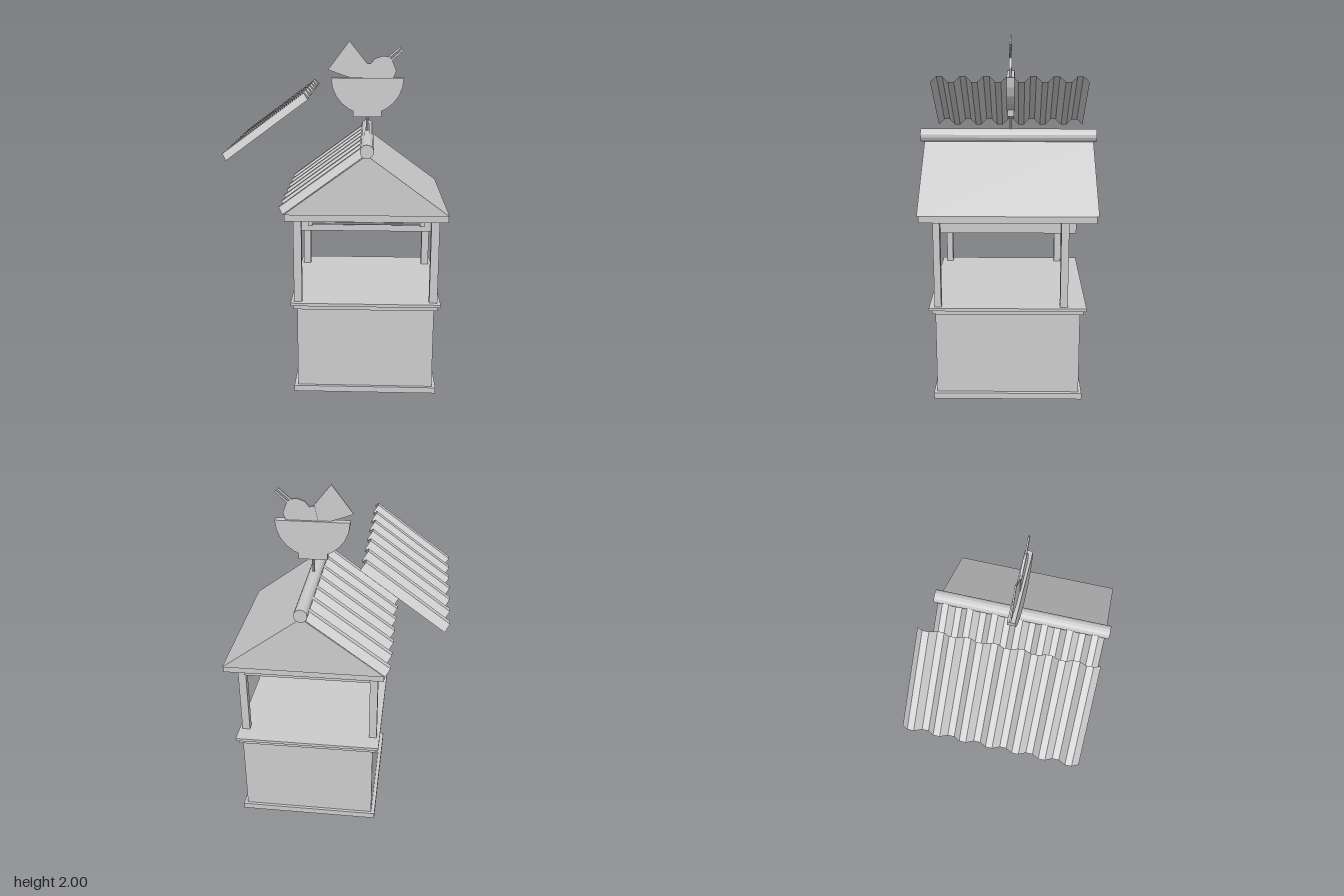
import * as THREE from 'three';

const CX = 0.163; // centre line of the stall
const SIGN_Z = -0.012;
const grey = new THREE.MeshStandardMaterial({ color: 0xcccccc, flatShading: true });
const greyThin = new THREE.MeshStandardMaterial({ color: 0xcccccc, flatShading: true, side: THREE.DoubleSide });

export function createModel() {
  const model = new THREE.Group();
  model.name = 'foodStall';

  function add(name, geometry, material = grey) {
    const mesh = new THREE.Mesh(geometry, material);
    mesh.name = name;
    model.add(mesh);
    return mesh;
  }
  // Box given by its limits on each axis
  function box(name, x0, x1, y0, y1, z0, z1) {
    const mesh = add(name, new THREE.BoxGeometry(x1 - x0, y1 - y0, z1 - z0));
    mesh.position.set((x0 + x1) / 2, (y0 + y1) / 2, (z0 + z1) / 2);
  }
  // Flat outline extruded about a z centre
  function plate(name, points, depth, z) {
    const shape = new THREE.Shape(points.map(([x, y]) => new THREE.Vector2(x, y)));
    const mesh = add(name, new THREE.ExtrudeGeometry(shape, { depth, bevelEnabled: false }));
    mesh.position.z = z - depth / 2;
  }
  // Centred slab of the stall
  const slab = (name, w, d, y0, y1) => box(name, CX - w / 2, CX + w / 2, y0, y1, -d / 2, d / 2);

  // Counter
  slab('plinth', 0.825, 0.835, 0, 0.035);
  slab('counterBody', 0.782, 0.8, 0.035, 0.515);
  slab('counterTrim', 0.82, 0.835, 0.515, 0.54);
  slab('counterTop', 0.852, 0.865, 0.54, 0.557);

  // Posts
  for (const side of [-1, 1]) {
    const x = CX + side * 0.385;
    box('frontPost', x - 0.023, x + 0.023, 0.557, 1.05, 0.365, 0.402);
    box('backPost', x - 0.023, x + 0.023, 0.557, 1.05, -0.33, -0.288);
  }

  // Ceiling block with a lamp on its front
  box('ceiling', -0.2, 0.525, 0.97, 1.05, -0.37, 0.366);
  const lamp = add('lampTube', new THREE.CylinderGeometry(0.007, 0.007, 0.62, 8));
  lamp.rotation.z = Math.PI / 2;
  lamp.position.set(CX, 1.016, 0.38);
  for (const x of [-0.15, 0.476]) box('lampCap', x - 0.012, x + 0.012, 1.004, 1.028, 0.366, 0.392);

  // Roof
  slab('eaves', 0.898, 0.945, 1.05, 1.09);
  plate('gableRoof', [[-0.29, 1.088], [0.615, 1.088], [CX, 1.42]], 0.965, -0.002);
  const ridge = add('ridgePole', new THREE.CylinderGeometry(0.038, 0.038, 1.003, 14));
  ridge.rotation.x = Math.PI / 2;
  ridge.position.set(CX, 1.443, 0);

  // Corrugated sheet: four quarter steps per wave, swept along the slope
  function corrugatedSheet(name, x, y) {
    const run = [0.445, 0.328], lift = [-0.025, 0.032];
    const waves = 7, step = 0.0357, positions = [], index = [];
    const count = waves * 4;
    for (let i = 0; i < count; i++) {
      const high = i % 4 === 1 || i % 4 === 2 ? 1 : 0;
      for (const t of [0, 1]) {
        positions.push(x + lift[0] * high + run[0] * t, y + lift[1] * high + run[1] * t, -0.485 + i * step);
      }
      if (i < count - 1) {
        const a = i * 2;
        index.push(a, a + 2, a + 1, a + 1, a + 2, a + 3);
      }
    }
    const geometry = new THREE.BufferGeometry();
    geometry.setAttribute('position', new THREE.Float32BufferAttribute(positions, 3));
    geometry.setIndex(index);
    geometry.computeVertexNormals();
    add(name, geometry, greyThin);
  }
  corrugatedSheet('roofSheet', -0.293, 1.09);
  corrugatedSheet('raisedSheet', -0.593, 1.386);

  // Bowl sign on a pole
  const pole = add('signPole', new THREE.CylinderGeometry(0.008, 0.008, 0.12, 8));
  pole.position.set(CX, 1.51, SIGN_Z);
  box('bowlFoot', 0.08, 0.247, 1.562, 1.602, SIGN_Z - 0.018, SIGN_Z + 0.018);
  const bowl = [];
  for (let i = 0; i <= 12; i++) {
    const a = Math.PI + (i / 12) * Math.PI;
    bowl.push([CX + 0.212 * Math.cos(a), 1.79 + 0.21 * Math.sin(a)]);
  }
  plate('bowl', bowl, 0.043, SIGN_Z);

  // Toppings and sticks
  plate('triangleTopping', [[-0.068, 1.835], [0.04, 1.797], [0.1, 1.78], [0.2, 1.78], [0.21, 1.81], [0.057, 2]], 0.008, SIGN_Z);
  plate('roundTopping', [[0.13, 1.78], [0.31, 1.78], [0.33, 1.83], [0.305, 1.89], [0.285, 1.91],
    [0.25, 1.915], [0.205, 1.9], [0.18, 1.87], [0.15, 1.875]], 0.014, SIGN_Z);
  for (const [x, y] of [[0.316, 1.932], [0.332, 1.918]]) {
    const stick = add('stick', new THREE.BoxGeometry(0.12, 0.011, 0.008));
    stick.rotation.z = 0.73;
    stick.position.set(x - 0.008, y - 0.006, SIGN_Z);
  }
  return model;
}
